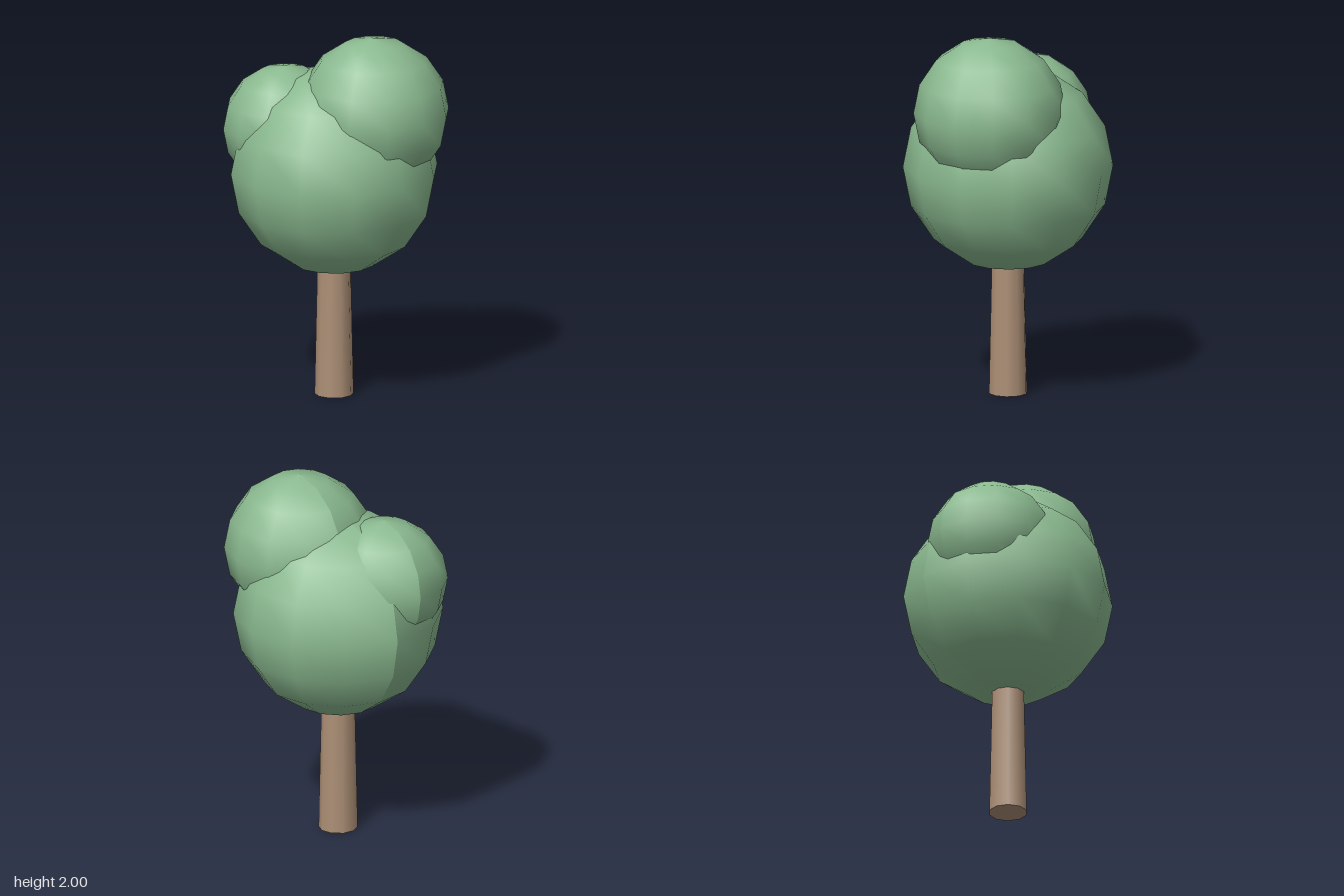
import * as THREE from 'three';

export function createModel() {
  const tree = new THREE.Group();
  tree.name = 'tree';

  const leafGreen = new THREE.MeshStandardMaterial({ color: 0x8ab98f });
  leafGreen.name = 'leafGreen';
  const barkBrown = new THREE.MeshStandardMaterial({ color: 0xac8f76 });
  barkBrown.name = 'barkBrown';

  // Tapered trunk, its top hidden inside the crown
  const trunkHeight = 0.8;
  const trunk = new THREE.Mesh(new THREE.CylinderGeometry(0.088, 0.105, trunkHeight, 10), barkBrown);
  trunk.name = 'trunk';
  trunk.position.set(-0.02, trunkHeight / 2, 0);
  tree.add(trunk);

  // Three overlapping low-poly foliage balls
  const foliage = [
    ['mainFoliage', 0.565, -0.02, 1.25, 0],
    ['upperFoliage', 0.41, 0.17, 1.59, -0.117],
    ['sideFoliage', 0.34, -0.245, 1.47, 0.15],
  ];
  for (const [name, radius, x, y, z] of foliage) {
    const geometry = new THREE.SphereGeometry(radius, 12, 8);
    geometry.computeVertexNormals(); // facet-averaged normals, open at the seam
    const ball = new THREE.Mesh(geometry, leafGreen);
    ball.name = name;
    ball.position.set(x, y, z);
    tree.add(ball);
  }

  return tree;
}
